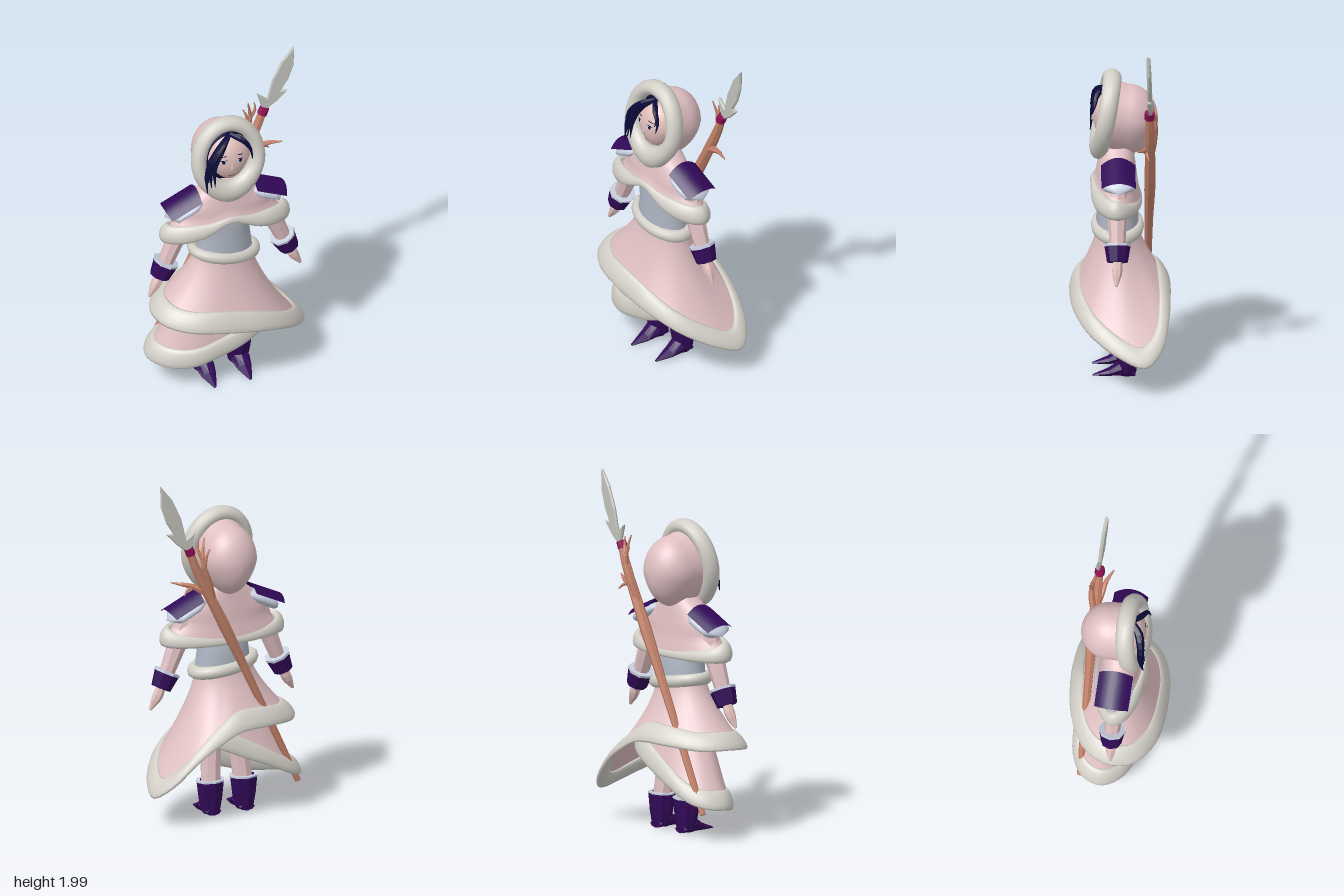
import * as THREE from 'three';
import { mergeVertices } from 'three/addons/utils/BufferGeometryUtils.js';

const V = (x, y, z) => new THREE.Vector3(x, y, z);
const lerp = THREE.MathUtils.lerp;
const TAU = Math.PI * 2;

function paint(name, color) {
  const m = new THREE.MeshStandardMaterial({ color, side: THREE.DoubleSide });
  m.name = name;
  return m;
}

// Grid surface from fn(u, v); u runs around, v runs along
function loft(fn, nu, nv, flat = false) {
  const pos = [], idx = [];
  for (let j = 0; j <= nv; j++)
    for (let i = 0; i <= nu; i++) pos.push(...fn(i / nu, j / nv).toArray());
  for (let j = 0; j < nv; j++)
    for (let i = 0; i < nu; i++) {
      const a = j * (nu + 1) + i, c = a + nu + 1;
      idx.push(a, c, a + 1, a + 1, c, c + 1);
    }
  let g = new THREE.BufferGeometry();
  g.setAttribute('position', new THREE.Float32BufferAttribute(pos, 3));
  g.setIndex(idx);
  g = flat ? g.toNonIndexed() : mergeVertices(g, 1e-5);
  g.computeVertexNormals();
  return g;
}

// Value at t in an evenly spaced list
function along(list, t) {
  const f = t * (list.length - 1), i = Math.min(Math.floor(f), list.length - 2);
  return lerp(list[i], list[i + 1], f - i);
}

// Closed tapered tube through points
function tube(points, radii, sides = 7, n = 8, flat = true) {
  const curve = new THREE.CatmullRomCurve3(points.map(p => V(...p)));
  const fr = curve.computeFrenetFrames(n, false);
  return loft((u, v) => {
    const row = Math.round(v * (n + 2)), k = Math.min(Math.max(row - 1, 0), n);
    const r = row === 0 || row === n + 2 ? 0 : along(radii, k / n);
    return curve.getPointAt(k / n)
      .addScaledVector(fr.normals[k], r * Math.cos(u * TAU))
      .addScaledVector(fr.binormals[k], -r * Math.sin(u * TAU));
  }, sides, n + 2, flat);
}

// Stack of ellipses, each row [y, rx, rz, zCentre]
function stack(rows, sides, nv, flat) {
  return loft((u, v) => {
    const [y, rx, rz, z] = [0, 1, 2, 3].map(k => along(rows.map(r => r[k]), v));
    return V(rx * Math.sin(u * TAU), y, z + rz * Math.cos(u * TAU));
  }, sides, nv, flat);
}

export function createModel() {
  const pink = paint('pink cloth', 0xdfbfc2), fur = paint('fur', 0xd2cfc7);
  const skin = paint('skin', 0xe2c0bc), purple = paint('purple leather', 0x310957);
  const trim = paint('pale trim', 0xc9d0e0), bodice = paint('bodice grey', 0xaeb5c2);
  const navy = paint('navy hair', 0x09093a), wood = paint('wood', 0xc4826a);
  const magenta = paint('magenta binding', 0x8c1152), steel = paint('blade grey', 0xc2c2bc);

  const root = new THREE.Group(), body = new THREE.Group();
  root.name = 'hoodedSpearBearer';
  body.name = 'figure';
  body.position.x = -0.03;
  root.add(body);
  const add = (name, geo, mat) => {
    const m = new THREE.Mesh(geo, mat);
    m.name = name;
    body.add(m);
    return m;
  };

  // Skirt layers: waist ellipse flaring to a slanted hem with a broad, flat fur band
  function skirtLayer(name, hem, waist, size) {
    const curve = new THREE.CatmullRomCurve3(hem.map(p => V(p[0] + 0.03, p[1], p[2])), true);
    const at = (u, s) => {
      const h = curve.getPoint(u % 1), a = Math.atan2(h.x / 0.44, h.z / 0.26);
      const x = waist * 0.165 * Math.sin(a), z = 0.01 + waist * 0.115 * Math.cos(a);
      const k = Math.pow(s, 1.4);
      return V(lerp(x, h.x, k), lerp(0.85 - 0.15 * x, h.y, s), lerp(z, h.z, k));
    };
    add(name, loft(at, 48, 10), pink);
    add(name + 'Fur', loft((u, v) => {
      const h = at(u, 1), d = h.clone().sub(at(u, 0.85)).normalize();
      const tan = at(u + 0.005, 1).sub(at((u + 0.995) % 1, 1)).normalize();
      const out = tan.clone().cross(d).normalize(), c = Math.cos(v * TAU);
      return h.addScaledVector(d, size * (c - 0.2)).addScaledVector(out, 0.018 * Math.sin(v * TAU));
    }, 48, 12), fur);
  }
  skirtLayer('upperSkirt', [[0.455, 0.215, -0.13], [0.425, 0.26, 0], [0.3, 0.36, 0.16], [0.13, 0.44, 0.235],
    [0, 0.475, 0.25], [-0.18, 0.51, 0.245], [-0.3, 0.52, 0.21], [-0.4, 0.535, 0.13], [-0.43, 0.55, 0],
    [-0.36, 0.55, -0.13], [-0.19, 0.57, -0.22], [0, 0.57, -0.25], [0.12, 0.51, -0.255],
    [0.25, 0.42, -0.25], [0.38, 0.29, -0.215]], 1, 0.064);
  skirtLayer('lowerSkirt', [[0.26, 0.46, 0], [0.19, 0.39, 0.1], [0.05, 0.31, 0.14], [-0.1, 0.25, 0.14],
    [-0.25, 0.21, 0.13], [-0.38, 0.205, 0.07], [-0.45, 0.22, -0.03], [-0.42, 0.23, -0.13],
    [-0.33, 0.26, -0.19], [-0.2, 0.33, -0.21], [-0.05, 0.4, -0.2], [0.1, 0.47, -0.17], [0.2, 0.5, -0.1]], 0.9, 0.06);

  // Torso and tilted fur belt
  add('torso', stack([[1.18, 0.1, 0.07, 0.02], [1.1, 0.15, 0.095, 0.03], [0.98, 0.147, 0.115, 0.012],
    [0.84, 0.165, 0.12, 0.01]], 28, 9), bodice);
  add('furBelt', loft((u, v) => {
    const a = u * TAU, r = 0.031 * Math.cos(v * TAU), x = (0.18 + r) * Math.sin(a);
    return V(x, 0.853 - 0.15 * x - 0.036 * Math.sin(v * TAU), 0.01 + (0.117 + r) * Math.cos(a));
  }, 36, 10), fur);

  // Shoulder cape: hem peaks at the middle of the chest, its fur thinning there and at the back
  const bump = (a, w) => Math.exp(-Math.pow(Math.min(a, TAU - a) / w, 2));
  const hemLift = a => 0.04 * bump(a, 0.8) + 0.04 * bump(a, 0.28) - 0.03 * Math.max(0, -Math.cos(a));
  add('shoulderCape', loft((u, v) => {
    const a = u * TAU, rx = along([0.1, 0.19, 0.27, 0.28, 0.34], v), rz = along([0.09, 0.1, 0.11, 0.118, 0.135], v);
    const y = along([1.33, 1.26, 1.19, 1.13, 1.06], v) + v * v * hemLift(a);
    return V(rx * Math.sin(a), y, 0.015 + rz * Math.cos(a));
  }, 48, 12), pink);
  add('capeFur', loft((u, v) => {
    const a = u * TAU, b = v * TAU, back = Math.max(0, -Math.cos(a));
    const f = (1 - 0.65 * bump(a, 0.45)) * (1 - 0.55 * back);
    const r = f * (0.032 * Math.cos(b) + 0.012 * Math.sin(b));
    return V((0.354 + r) * Math.sin(a), 1.05 + hemLift(a) - 0.054 * f * Math.sin(b),
      0.018 + (0.13 + r) * Math.cos(a));
  }, 64, 12), fur);

  // Hood shell runs from a rounded back pole to the leaning rim
  const rimZ = c => 0.078 - 0.038 * c;
  add('hood', loft((u, v) => {
    const a = u * TAU, c = Math.cos(a), q = Math.min(v / 0.7, 1) * Math.PI / 2, k = Math.max(0, v - 0.7) / 0.3;
    const r = Math.sin(q), taper = c < 0 ? 1 + 0.25 * c : 1;
    return V(lerp(0.162 * r * taper, 0.165, k * k) * Math.sin(a), lerp(1.475, 1.5, k) + 0.2 * r * c,
      lerp(-0.05 - 0.165 * Math.cos(q), rimZ(c) - 0.01, k));
  }, 36, 20), pink);
  add('hoodFur', loft((u, v) => {
    const a = u * TAU, b = v * TAU, c = Math.cos(a), low = Math.max(0, -c);
    const r = 0.043 + 0.024 * low * low, s = r * Math.cos(b);
    const rx = 0.175 * (1 - 0.2 * low * low), ry = c < 0 ? 0.194 : 0.212;
    return V((rx + s) * Math.sin(a), 1.505 + (ry + s) * c, rimZ(c) - 0.052 * Math.sin(b));
  }, 40, 12), fur);

  // Face with a narrowed chin, dark hair mass behind it
  const [faceX, faceW] = [0.01, 0.125];
  const face = new THREE.SphereGeometry(1, 28, 20);
  face.scale(faceW, 0.145, 0.1);
  const fp = face.attributes.position;
  for (let i = 0; i < fp.count; i++) {
    const y = fp.getY(i);
    if (y < 0) fp.setX(i, fp.getX(i) * (1 + y * 2));
  }
  face.translate(faceX, 1.51, 0.05);
  face.computeVertexNormals();
  add('face', face, skin);
  const hairCap = new THREE.SphereGeometry(1, 24, 16);
  hairCap.scale(0.14, 0.175, 0.06);
  hairCap.translate(0, 1.515, 0.025);
  add('hairCap', hairCap, navy);

  // Painted features laid on the face surface
  function patch(name, mat, x, y, rx, ry, tilt = 0, off = 0.002) {
    const g = new THREE.CircleGeometry(1, 14);
    g.scale(rx, ry, 1);
    g.rotateZ(tilt);
    g.translate(x, y, 0);
    const p = g.attributes.position;
    for (let i = 0; i < p.count; i++) {
      const q = 1 - ((p.getX(i) - faceX) / faceW) ** 2 - ((p.getY(i) - 1.51) / 0.145) ** 2;
      p.setZ(i, 0.05 + 0.1 * Math.sqrt(Math.max(q, 0)) + off);
    }
    g.computeVertexNormals();
    add(name, g, mat);
  }
  for (const [x, s] of [[-0.05, -1], [0.047, 1]]) {
    patch('eyeWhite', trim, x, 1.528, 0.019, 0.011);
    patch('iris', navy, x, 1.528, 0.009, 0.01, 0, 0.004);
    patch('eyelid', navy, x, 1.539, 0.021, 0.0025, -0.15 * s, 0.004);
    patch('eyebrow', navy, x, 1.562, 0.021, 0.0025, -0.15 * s);
  }
  patch('mouth', wood, -0.002, 1.425, 0.022, 0.006);
  add('nose', tube([[-0.002, 1.52, 0.146], [-0.002, 1.472, 0.148]], [0.003, 0.01], 10, 4, false), skin);

  // Fringe: locks fanning out from the parting
  const locks = [[-0.155, 1.36, 0.019], [-0.13, 1.39, 0.018], [-0.108, 1.39, 0.016], [-0.145, 1.43, 0.022],
    [-0.118, 1.46, 0.022], [-0.1, 1.53, 0.018], [0.114, 1.53, 0.015], [0.105, 1.57, 0.018]];
  for (const [x, y, r] of locks)
    add('hairLock', tube([[0.01, 1.668, 0.075], [0.01 + x * 0.6, lerp(1.66, y, 0.22), 0.128],
      [x * 0.97, lerp(1.66, y, 0.6), 0.142], [x, y, 0.16]], [0.012, r, r * 0.8, 0.002], 6, 8), navy);

  for (const s of [-1, 1]) {
    const side = s > 0 ? 'left' : 'right';
    // Shoulder pad: arched plate on a pale rounded cushion
    const ridge = x => 1.298 - (x - 0.17) * 0.45;
    add(side + 'ShoulderPad', loft((u, v) => {
      const k = lerp(-1, 1, v), x = lerp(0.165, 0.362 - 0.02 * k * k, u);
      return V(s * x, ridge(x) - 0.045 * k * k, 0.01 + s * 0.096 * k);
    }, 4, 8), purple);
    add(side + 'PadTrim', loft((u, v) => {
      const a = u * TAU, x = lerp(0.13, 0.355, v), r = along([0.6, 1, 1, 0.95, 0], v);
      return V(s * x, ridge(x) - 0.068 + 0.042 * r * Math.cos(a), 0.01 + s * 0.103 * r * Math.sin(a));
    }, 16, 8), trim);
    // Arm, cuff and hand
    add(side + 'Sleeve', tube([[s * 0.22, 1.18, 0.01], [s * 0.27, 1.04, 0.015], [s * 0.36, 0.82, 0.018]],
      [0.055, 0.055, 0.042], 8, 4), pink);
    add(side + 'Cuff', tube([[s * 0.35, 0.842, 0.017], [s * 0.387, 0.76, 0.018]], [0.073, 0.058], 8, 1), purple);
    add(side + 'CuffTrim', tube([[s * 0.345, 0.853, 0.017], [s * 0.351, 0.84, 0.017]], [0.076, 0.075], 8, 1), trim);
    add(side + 'Hand', tube([[s * 0.38, 0.78, 0.018], [s * 0.405, 0.72, 0.02], [s * 0.452, 0.64, 0.026]],
      [0.026, 0.032, 0.008], 7, 5), skin);
    // Leg, boot shaft, pointed foot and boot trim
    add(side + 'Leg', tube([[s * 0.07, 0.66, 0], [s * 0.085, 0.4, -0.01], [s * 0.105, 0.14, -0.04]],
      [0.08, 0.06, 0.055], 8, 4), pink);
    const put = m => { m.position.x = s * 0.106; };
    put(add(side + 'BootShaft', stack([[0.197, 0.085, 0.07, -0.038], [0.1, 0.074, 0.058, -0.042],
      [0.03, 0.058, 0.05, -0.043], [0.01, 0.04, 0.045, -0.04], [0.01, 0, 0, -0.04]], 8, 4, true), purple));
    put(add(side + 'BootTrim', stack([[0.205, 0.065, 0.05, -0.038], [0.205, 0.087, 0.072, -0.038],
      [0.195, 0.087, 0.072, -0.038]], 8, 2, true), trim));
    put(add(side + 'Foot', loft((u, v) => {
      const a = -u * TAU, w = along([0, 0.045, 0.056, 0.042, 0.008], v), h = along([0, 0.04, 0.1, 0.045, 0.008], v);
      return V(w * Math.cos(a), 0.004 + h * (0.5 - 0.5 * Math.sin(a)), along([-0.088, -0.085, -0.01, 0.06, 0.15], v));
    }, 8, 4, true), purple));
  }

  // Spear slung across the back: shaft, branches, binding and blade
  add('spearShaft', tube([[-0.385, 0.16, -0.158], [-0.13, 0.69, -0.162], [0.14, 1.24, -0.168], [0.225, 1.4, -0.165],
    [0.27, 1.5, -0.165], [0.305, 1.6, -0.162]], [0.017, 0.021, 0.022, 0.025, 0.034, 0.029, 0.023], 7, 16), wood);
  const branches = [
    [[0.16, 1.29, -0.165], [0.2, 1.42, -0.19], [0.238, 1.53, -0.195], [0.215, 1.66, -0.17]],
    [[0.225, 1.5, -0.195], [0.215, 1.56, -0.2], [0.195, 1.6, -0.2]],
    [[0.236, 1.54, -0.195], [0.26, 1.6, -0.18], [0.256, 1.65, -0.18]],
    [[0.19, 1.33, -0.165], [0.27, 1.375, -0.14], [0.32, 1.39, -0.13], [0.388, 1.405, -0.095]],
    [[0.27, 1.375, -0.14], [0.31, 1.36, -0.15], [0.335, 1.335, -0.16]]];
  branches.forEach((p, i) => add('spearBranch',
    tube(p, i % 3 ? [0.012, 0.009, 0.003] : [0.024, 0.019, 0.013, 0.004], 6, 7), wood));
  add('spearBinding', tube([[0.294, 1.572, -0.162], [0.312, 1.612, -0.162]], [0.029, 0.027], 8, 1), magenta);
  // Blade outline measured from the binding, turned slightly forward
  const blade = new THREE.Shape([[-0.012, 1.605], [-0.04, 1.71], [0.018, 1.664], [0.05, 1.79], [0.105, 1.907],
    [0.174, 1.992], [0.17, 1.87], [0.138, 1.775], [0.094, 1.706], [0.136, 1.706], [0.073, 1.64],
    [0.023, 1.602]].map(p => new THREE.Vector2(...p)));
  const spearBlade = add('spearBlade', new THREE.ExtrudeGeometry(blade, { depth: 0.004, bevelThickness: 0.008,
    bevelSize: 0.006, bevelOffset: -0.005, bevelSegments: 1 }), steel);
  spearBlade.position.set(0.31, 0, -0.172);
  spearBlade.rotation.y = -0.1;

  return root;
}
